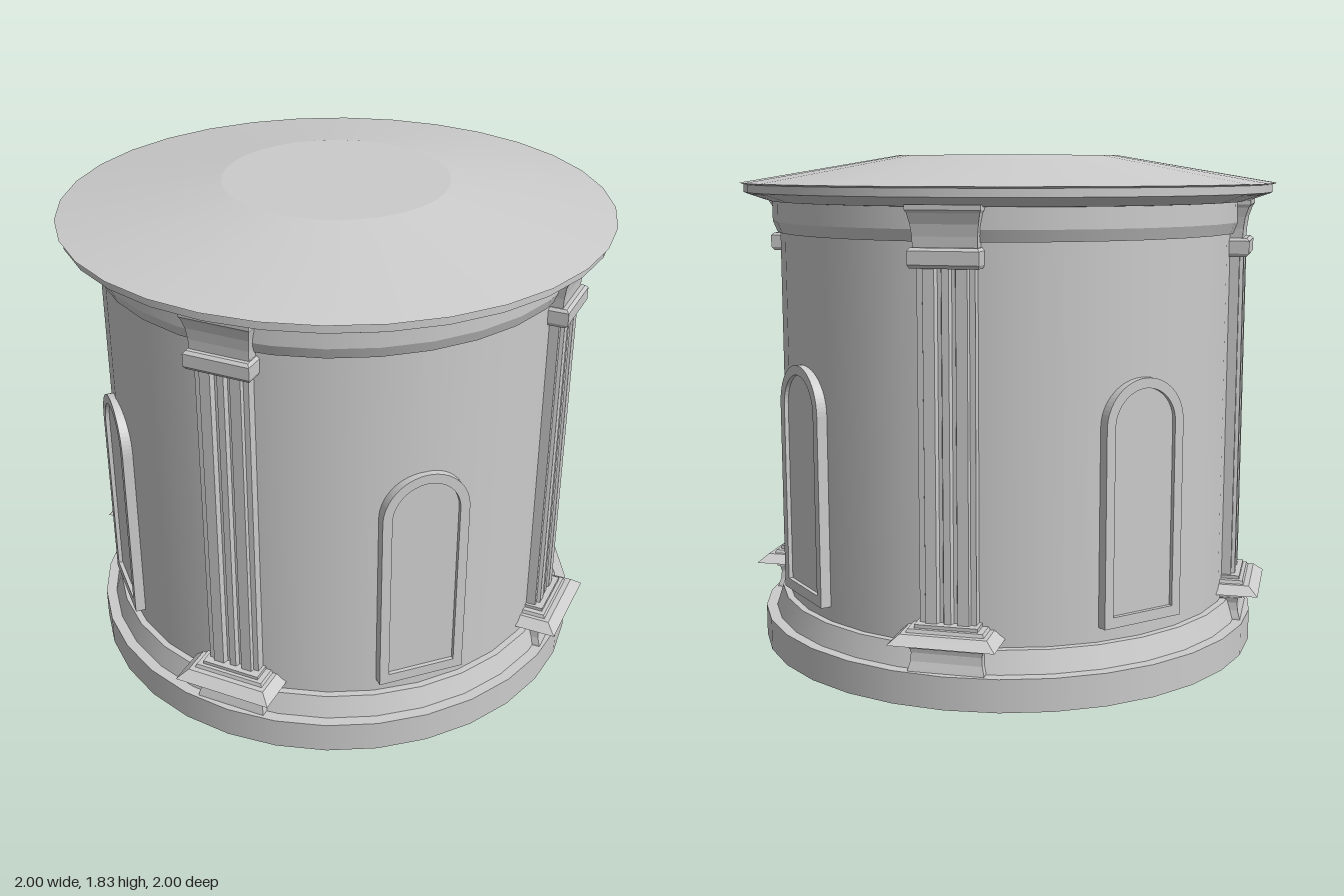
import * as THREE from 'three';

const material = new THREE.MeshStandardMaterial({ color: 0xcccccc, side: THREE.DoubleSide });
const SIDES = 32;

function addMesh(parent, geometry, name) {
  const mesh = new THREE.Mesh(geometry, material);
  mesh.name = name;
  parent.add(mesh);
  return mesh;
}

// Round profile [radius, y] from bottom to top; each band is smooth around, sharp between bands
function addRound(parent, profile, name) {
  const group = new THREE.Group();
  group.name = name;
  for (let i = 0; i < profile.length - 1; i++) {
    const points = [profile[i], profile[i + 1]].map(([r, y]) => new THREE.Vector2(r, y));
    addMesh(group, new THREE.LatheGeometry(points, SIDES), name + 'Band');
  }
  parent.add(group);
}

// Rectangular loft from sections [y, halfWidth, frontZ], all running back into the wall
function loft(sections, back = 0.8) {
  const pos = [];
  const corners = ([y, w, f]) => [[-w, y, f], [w, y, f], [w, y, back], [-w, y, back]];
  const quad = (a, b, c, d) => pos.push(...a, ...b, ...c, ...a, ...c, ...d);
  for (let i = 0; i < sections.length - 1; i++) {
    const lo = corners(sections[i]);
    const hi = corners(sections[i + 1]);
    for (let k = 0; k < 4; k++) quad(lo[k], lo[(k + 1) % 4], hi[(k + 1) % 4], hi[k]);
  }
  const bottom = corners(sections[0]);
  quad(bottom[3], bottom[2], bottom[1], bottom[0]);
  quad(...corners(sections[sections.length - 1]));
  const geometry = new THREE.BufferGeometry();
  geometry.setAttribute('position', new THREE.Float32BufferAttribute(pos, 3));
  geometry.computeVertexNormals();
  return geometry;
}

// Outline with a semicircular head
function archPath(path, w, y0, spring) {
  path.moveTo(-w, y0);
  path.lineTo(w, y0);
  path.lineTo(w, spring);
  path.absarc(0, spring, w, 0, Math.PI, false);
  path.lineTo(-w, y0);
  return path;
}

function createPilaster() {
  const group = new THREE.Group();
  group.name = 'pilaster';

  // Plinth with a slight waist, flared skirt and stepped foot
  addMesh(group, loft([
    [0.1, 0.135, 0.925], [0.125, 0.132, 0.918], [0.15, 0.125, 0.91], [0.18, 0.123, 0.908], [0.2, 0.128, 0.912],
  ]), 'plinth');
  addMesh(group, loft([
    [0.2, 0.125, 0.925], [0.225, 0.125, 0.925], [0.225, 0.185, 0.985], [0.256, 0.15, 0.95],
    [0.256, 0.135, 0.93], [0.268, 0.13, 0.925], [0.268, 0.11, 0.912], [0.28, 0.11, 0.912],
  ]), 'foot');

  // Fluted shaft with a narrow central rib
  const half = [
    [0.012, 0.89], [0.018, 0.873], [0.03, 0.873], [0.036, 0.893],
    [0.075, 0.893], [0.079, 0.88], [0.098, 0.88], [0.1, 0.8],
  ];
  const outline = [...half, ...half.map(([x, z]) => [-x, z]).reverse()];
  const shape = new THREE.Shape(outline.map(([x, z]) => new THREE.Vector2(x, -z)));
  const shaft = new THREE.ExtrudeGeometry(shape, { depth: 1.2, bevelEnabled: false });
  shaft.rotateX(-Math.PI / 2);
  shaft.translate(0, 0.275, 0);
  addMesh(group, shaft, 'shaft');

  // Collar and flaring capital
  addMesh(group, loft([
    [1.468, 0.115, 0.905], [1.48, 0.12, 0.915], [1.525, 0.12, 0.915], [1.535, 0.112, 0.905],
  ]), 'collar');
  addMesh(group, loft([
    [1.53, 0.108, 0.89], [1.57, 0.109, 0.892], [1.61, 0.114, 0.898],
    [1.645, 0.121, 0.91], [1.655, 0.126, 0.917], [1.672, 0.126, 0.917],
  ]), 'capital');
  return group;
}

function createWindow() {
  const group = new THREE.Group();
  group.name = 'archedWindow';
  const frameShape = archPath(new THREE.Shape(), 0.16, 0.247, 0.936);
  frameShape.holes.push(archPath(new THREE.Path(), 0.125, 0.285, 0.936));
  const frame = new THREE.ExtrudeGeometry(frameShape, { depth: 0.06, bevelEnabled: false, curveSegments: 16 });
  frame.translate(0, 0, 0.817);
  addMesh(group, frame, 'windowFrame');
  const panel = new THREE.ShapeGeometry(archPath(new THREE.Shape(), 0.126, 0.284, 0.936), 16);
  panel.translate(0, 0, 0.862);
  addMesh(group, panel, 'windowPanel');
  return group;
}

export function createModel() {
  const model = new THREE.Group();
  model.name = 'rotunda';

  addRound(model, [[0, 0], [0.945, 0], [0.945, 0.117], [0.905, 0.117], [0.88, 0.195], [0.85, 0.195]], 'base');
  addRound(model, [[0.855, 0.19], [0.855, 1.56]], 'wall');
  addRound(model, [[0.85, 1.552], [0.866, 1.552], [0.882, 1.592], [0.882, 1.665]], 'cornice');
  addRound(model, [[0.85, 1.662], [0.895, 1.665], [0.975, 1.692], [0.985, 1.697], [0.985, 1.725], [1, 1.73]], 'eave');
  addRound(model, [[1, 1.73], [0.41, 1.83], [0, 1.83]], 'roof');

  // Pilasters on the axes, windows on the diagonals
  for (let i = 0; i < 4; i++) {
    const pilaster = createPilaster();
    pilaster.rotation.y = (i * Math.PI) / 2;
    const arched = createWindow();
    arched.rotation.y = ((i + 0.5) * Math.PI) / 2;
    model.add(pilaster, arched);
  }
  return model;
}
